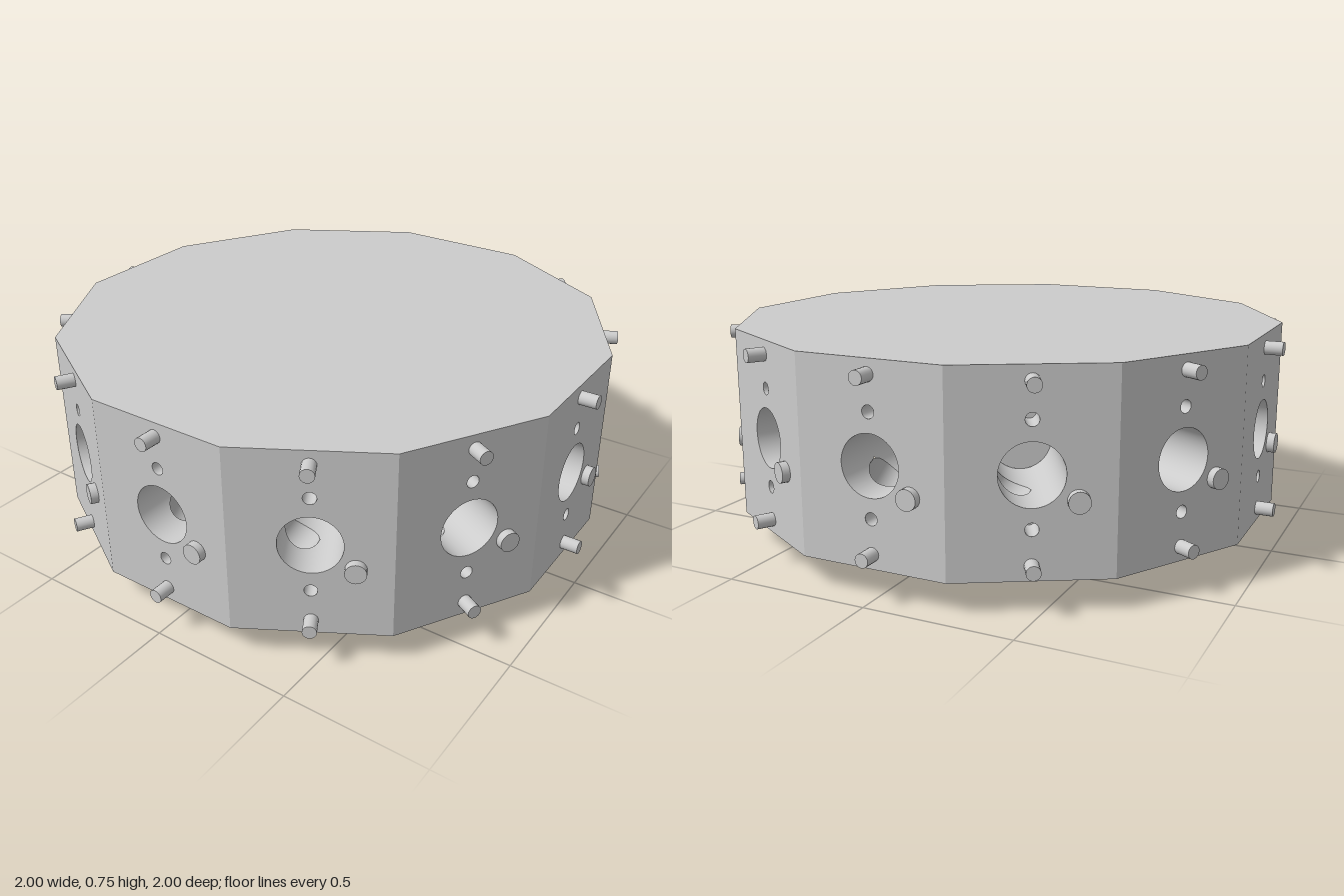
import * as THREE from 'three';
import { ParametricGeometry } from 'three/addons/geometries/ParametricGeometry.js';

const SIDES = 12, STEP = Math.PI * 2 / SIDES;
const APO = 0.94, Y0 = 0.1, Y1 = 0.75;                 // housing apothem, bottom, top
const HALF = APO * Math.tan(STEP / 2), CORNER = APO / Math.cos(STEP / 2);
const PORT_Y = 0.425, PORT_R = 0.1, PORT_DEPTH = 0.4;  // large port in each face
const DUCT_R = 0.063, DUCT_Z = 0.768, DUCT_X = -0.206; // slanted duct from underside to port
const SLANT = Math.atan2(-DUCT_X, PORT_Y - Y0);
const HOLES_Y = [0.59, 0.26], HOLE_R = 0.021, HOLE_DEPTH = 0.1;

const solid = new THREE.MeshStandardMaterial({ color: 0xcccccc });
const faceted = new THREE.MeshStandardMaterial({ color: 0xcccccc, flatShading: true });
const open = new THREE.MeshStandardMaterial({ color: 0xcccccc, side: THREE.DoubleSide });

function add(parent, name, geometry, material = solid) {
  const mesh = new THREE.Mesh(geometry, material);
  mesh.name = name;
  parent.add(mesh);
  return mesh;
}

const circle = (x, y, r) => new THREE.Path().absarc(x, y, r, 0, Math.PI * 2, true);

function dodecagon() {
  const pts = [];
  for (let k = 0; k < SIDES; k++) {
    const a = (k + 0.5) * STEP;
    pts.push(new THREE.Vector2(Math.cos(a) * CORNER, Math.sin(a) * CORNER));
  }
  return new THREE.Shape(pts);
}

// flat face with its port and two small holes
function panelGeometry() {
  const s = new THREE.Shape([[-HALF, Y0], [HALF, Y0], [HALF, Y1], [-HALF, Y1]].map(p => new THREE.Vector2(...p)));
  s.holes.push(circle(0, PORT_Y, PORT_R));
  HOLES_Y.forEach(y => s.holes.push(circle(0, y, HOLE_R)));
  return new THREE.ShapeGeometry(s, 24).translate(0, 0, APO);
}

// port wall in front of (-1) or behind (+1) the mouth of the duct
function portWall(side) {
  return new ParametricGeometry((u, v, p) => {
    const a = u * Math.PI * 2;
    const x = Math.cos(a) * PORT_R, y = Math.sin(a) * PORT_R;
    const across = x * Math.cos(SLANT) - y * Math.sin(SLANT);
    const along = x * Math.sin(SLANT) + y * Math.cos(SLANT);
    const h = along < 0 ? Math.sqrt(Math.max(0, DUCT_R ** 2 - across ** 2)) : 0;
    const mouth = DUCT_Z + (side < 0 ? h : -h);
    const end = side < 0 ? APO : APO - PORT_DEPTH;
    p.set(x, PORT_Y + y, mouth + (end - mouth) * v);
  }, 96, 3);
}

// slanted duct, trimmed by the underside and by the port wall
function ductGeometry() {
  return new ParametricGeometry((u, v, p) => {
    const a = u * Math.PI * 2, s = Math.cos(a) * DUCT_R;
    const t0 = (Y0 - PORT_Y + s * Math.sin(SLANT)) / Math.cos(SLANT);
    const t1 = -Math.sqrt(PORT_R ** 2 - s * s);
    const t = t0 + (t1 - t0) * v;
    p.set(s * Math.cos(SLANT) + t * Math.sin(SLANT),
      PORT_Y - s * Math.sin(SLANT) + t * Math.cos(SLANT),
      DUCT_Z + Math.sin(a) * DUCT_R);
  }, 48, 4);
}

// round stub standing out of a face, along z
function stub(r, x, y, zEnd) {
  const length = zEnd - APO + 0.02;
  return new THREE.CylinderGeometry(r, r, length, 20).rotateX(Math.PI / 2).translate(x, y, zEnd - length / 2);
}

export function createModel() {
  const model = new THREE.Group();
  model.name = 'portedHousing';

  // top plate
  add(model, 'topPlate', new THREE.ShapeGeometry(dodecagon()).rotateX(-Math.PI / 2).translate(0, Y1, 0));

  // underside with one duct opening near each corner
  const under = dodecagon();
  for (let k = 0; k < SIDES; k++) {
    const a = k * STEP;
    const cx = DUCT_X * Math.cos(a) + DUCT_Z * Math.sin(a);
    const cy = -DUCT_X * Math.sin(a) + DUCT_Z * Math.cos(a);
    under.holes.push(new THREE.Path().absellipse(cx, cy, DUCT_R / Math.cos(SLANT), DUCT_R, 0, Math.PI * 2, true, -a));
  }
  add(model, 'underside', new THREE.ShapeGeometry(under, 24).rotateX(Math.PI / 2).translate(0, Y0, 0));

  // round foot
  add(model, 'foot', new THREE.CylinderGeometry(0.565, 0.565, Y0, 24).translate(0, Y0 / 2, 0), faceted);

  // one side, repeated around the housing
  const side = new THREE.Group();
  add(side, 'sidePanel', panelGeometry());
  add(side, 'portWallFront', portWall(-1), open);
  add(side, 'portWallBack', portWall(1), open);
  add(side, 'portEnd', new THREE.CircleGeometry(PORT_R, 48).translate(0, PORT_Y, APO - PORT_DEPTH));
  add(side, 'duct', ductGeometry(), open);
  for (const y of HOLES_Y) {
    add(side, 'smallHoleWall', new THREE.CylinderGeometry(HOLE_R, HOLE_R, HOLE_DEPTH, 24, 1, true)
      .rotateX(Math.PI / 2).translate(0, y, APO - HOLE_DEPTH / 2), open);
    add(side, 'smallHoleEnd', new THREE.CircleGeometry(HOLE_R, 24).translate(0, y, APO - HOLE_DEPTH));
  }
  for (const y of [0.702, 0.148]) add(side, 'pin', stub(0.023, 0, y, 1));
  add(side, 'peg', stub(0.034, 0.136, 0.346, 0.966));

  for (let k = 0; k < SIDES; k++) {
    const copy = side.clone();
    copy.name = 'side' + (k + 1);
    copy.rotation.y = k * STEP;
    model.add(copy);
  }
  return model;
}
